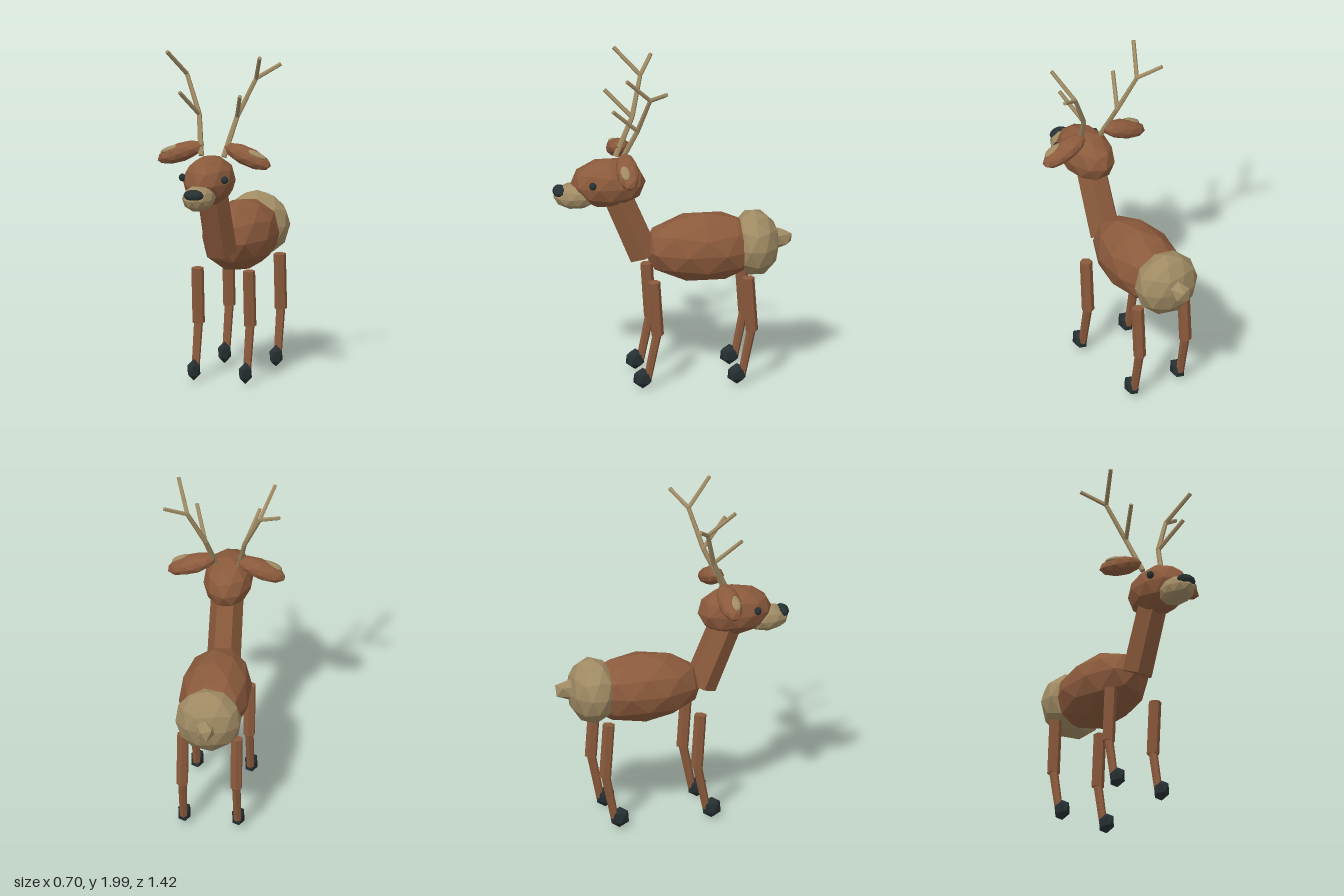
import * as THREE from 'three';

const brown = new THREE.MeshStandardMaterial({ color: 0x8b5a3c });
brown.name = 'brown fur';
const tan = new THREE.MeshStandardMaterial({ color: 0x9f8a63 });
tan.name = 'tan fur and antler';
const dark = new THREE.MeshStandardMaterial({ color: 0x263032 });
dark.name = 'dark hoof, eye and nose';

// Give every face its own normals for the faceted look
function faceted(geometry) {
  const g = geometry.index ? geometry.toNonIndexed() : geometry;
  g.computeVertexNormals();
  return g;
}

// Faceted ellipsoid with its poles on the y axis
function blob(name, material, radii, position, detail = 1) {
  const g = new THREE.IcosahedronGeometry(1, detail);
  g.rotateX(-Math.atan((1 + Math.sqrt(5)) / 2));
  g.rotateY(Math.PI / 2);
  g.scale(...radii);
  const mesh = new THREE.Mesh(faceted(g), material);
  mesh.name = name;
  mesh.position.set(...position);
  return mesh;
}

// Tapered faceted rod from point a to point b
function rod(name, material, a, b, rA, rB, turn = 0) {
  const start = new THREE.Vector3(...a);
  const end = new THREE.Vector3(...b);
  const axis = end.clone().sub(start);
  const g = new THREE.CylinderGeometry(rB, rA, axis.length(), 6);
  g.rotateY(turn);
  const mesh = new THREE.Mesh(faceted(g), material);
  mesh.name = name;
  mesh.position.copy(start).add(end).multiplyScalar(0.5);
  mesh.quaternion.setFromUnitVectors(new THREE.Vector3(0, 1, 0), axis.normalize());
  return mesh;
}

// Leg with a thick upper part, a thin lower part and a hoof
function leg(name, side, z) {
  const group = new THREE.Group();
  group.name = name;
  const x = side * 0.16;
  group.add(
    rod('upperLeg', brown, [x, 0.67, z], [x, 0.338, z - 0.022], 0.037, 0.037),
    rod('lowerLeg', brown, [x, 0.34, z - 0.018], [x, 0.07, z + 0.036], 0.027, 0.024),
    blob('hoof', dark, [0.041, 0.065, 0.063], [x, 0.07, z + 0.067], 0)
  );
  return group;
}

// Drooping ear with a small pale inner patch
function ear(name, side) {
  const group = new THREE.Group();
  group.name = name;
  group.add(
    blob('outerEar', brown, [0.155, 0.056, 0.07], [0, 0, 0]),
    blob('innerEar', tan, [0.065, 0.018, 0.03], [side * 0.05, 0.039, 0.02])
  );
  group.position.set(side * 0.207, 1.39, 0.297);
  group.rotation.z = -side * 0.37;
  return group;
}

// Antler with a two-part beam, a brow tine and a forked end
function antler(name, side) {
  const group = new THREE.Group();
  group.name = name;
  const at = (x, y, z) => [side * x, y, z];
  const base = at(0.07, 1.385, 0.33);
  const middle = at(0.117, 1.61, 0.225);
  const fork = at(0.215, 1.835, 0.163);
  group.add(
    rod('lowerBeam', tan, base, middle, 0.017, 0.015),
    rod('upperBeam', tan, middle, fork, 0.015, 0.013),
    rod('browTine', tan, middle, at(0.188, 1.765, 0.38), 0.013, 0.012),
    rod('frontTine', tan, fork, at(0.288, 1.99, 0.312), 0.013, 0.012),
    rod('rearTine', tan, fork, at(0.342, 1.915, 0.083), 0.013, 0.012)
  );
  return group;
}

export function createModel() {
  const deer = new THREE.Group();
  deer.name = 'deer';

  // Trunk, rump, tail and neck
  deer.add(
    blob('body', brown, [0.212, 0.21, 0.37], [0, 0.82, -0.185]),
    blob('rump', tan, [0.2, 0.2, 0.15], [0, 0.83, -0.485]),
    blob('tail', tan, [0.06, 0.065, 0.1], [0, 0.85, -0.62], 0),
    rod('neck', brown, [0, 0.793, 0.174], [0, 1.25, 0.365], 0.1, 0.096, Math.PI / 6)
  );

  // Head
  deer.add(
    blob('head', brown, [0.147, 0.15, 0.225], [0, 1.25, 0.385]),
    blob('muzzle', tan, [0.095, 0.08, 0.135], [0, 1.18, 0.575]),
    blob('nose', dark, [0.062, 0.036, 0.043], [0, 1.212, 0.672])
  );

  // Paired parts
  for (const [label, side] of [['left', 1], ['right', -1]]) {
    deer.add(
      blob(label + 'Eye', dark, [0.022, 0.024, 0.022], [side * 0.131, 1.28, 0.492]),
      ear(label + 'Ear', side),
      antler(label + 'Antler', side),
      leg(label + 'FrontLeg', side, 0.133),
      leg(label + 'HindLeg', side, -0.426)
    );
  }
  return deer;
}
